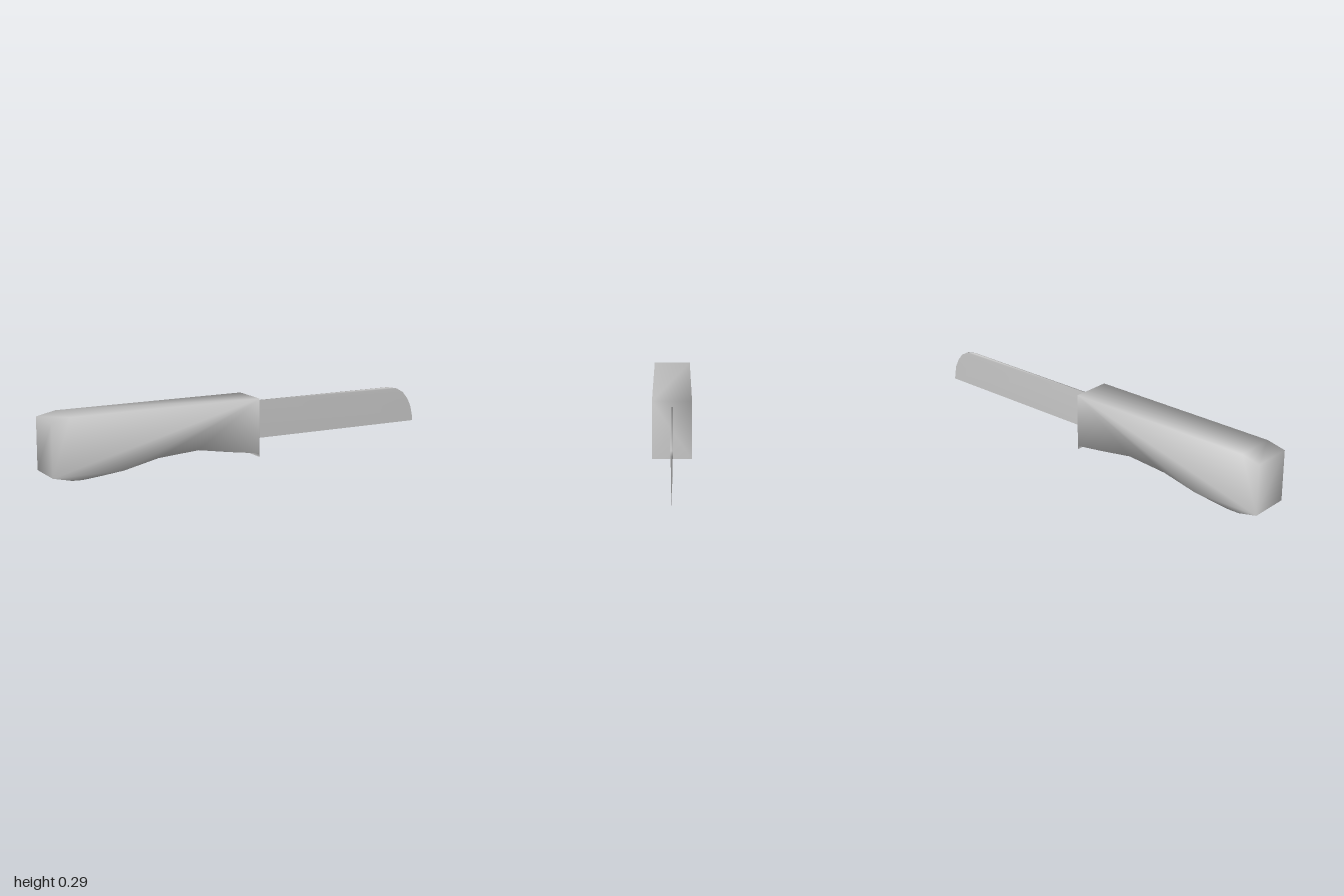
import * as THREE from 'three';

// Slab with shared vertices (smooth normals) from a counterclockwise outline.
// half(y) is the half thickness, faces the triangulation, capEdge a wall split around its centre.
function slab(name, outline, half, faces, capEdge = -1) {
  const n = outline.length;
  const pos = [];
  const index = [];
  for (const side of [1, -1]) {
    for (const [x, y] of outline) pos.push(x, y, side * half(y));
  }
  for (const [a, b, c] of faces) index.push(a, b, c, n + a, n + c, n + b);
  for (let i = 0; i < n; i++) {
    const j = (i + 1) % n;
    if (i === capEdge) {
      const m = pos.length / 3;
      pos.push((outline[i][0] + outline[j][0]) / 2, (outline[i][1] + outline[j][1]) / 2, 0);
      const ring = [i, n + i, n + j, j];
      ring.forEach((v, k) => index.push(v, ring[(k + 1) % 4], m));
    } else {
      index.push(i, n + i, n + j, i, n + j, j);
    }
  }
  const geometry = new THREE.BufferGeometry();
  geometry.setAttribute('position', new THREE.Float32BufferAttribute(pos, 3));
  geometry.setIndex(index);
  geometry.computeVertexNormals();
  const mesh = new THREE.Mesh(geometry, new THREE.MeshStandardMaterial({ color: 0xcccccc, side: THREE.DoubleSide }));
  mesh.name = name;
  return mesh;
}

export function createModel() {
  const group = new THREE.Group();
  group.name = 'knife';

  // Handle: chamfered butt, curved finger grip below, small lip at the blade end
  const grip = [
    [-1, 0.022], [-0.91, 0.002], [-0.86, 0], [-0.77, 0.008], [-0.66, 0.02], [-0.49, 0.058],
    [-0.285, 0.073], [-0.12, 0.046], [0.033, 0.024], [0.04, 0.005],
    [0.04, 0.287], [-0.91, 0.287], [-1, 0.267],
  ];
  const gripFaces = THREE.ShapeUtils.triangulateShape(grip.map(([x, y]) => new THREE.Vector2(x, y)), []);
  group.add(slab('handle', grip, () => 0.095, gripFaces, 9));

  // Blade: thin wedge, thick along the spine and sharp along the lower edge
  const blade = [
    [0.04, 0.26], [0.04, 0.075], [1, 0.075], [0.997, 0.1], [0.985, 0.15], [0.965, 0.19],
    [0.935, 0.227], [0.895, 0.25], [0.84, 0.26],
  ];
  const bladeFaces = [];
  for (let i = 1; i < blade.length - 1; i++) bladeFaces.push([0, i, i + 1]);
  const wedge = (y) => 0.0005 + 0.0042 * (y - 0.075) / 0.185;
  group.add(slab('blade', blade, wedge, bladeFaces));

  return group;
}
